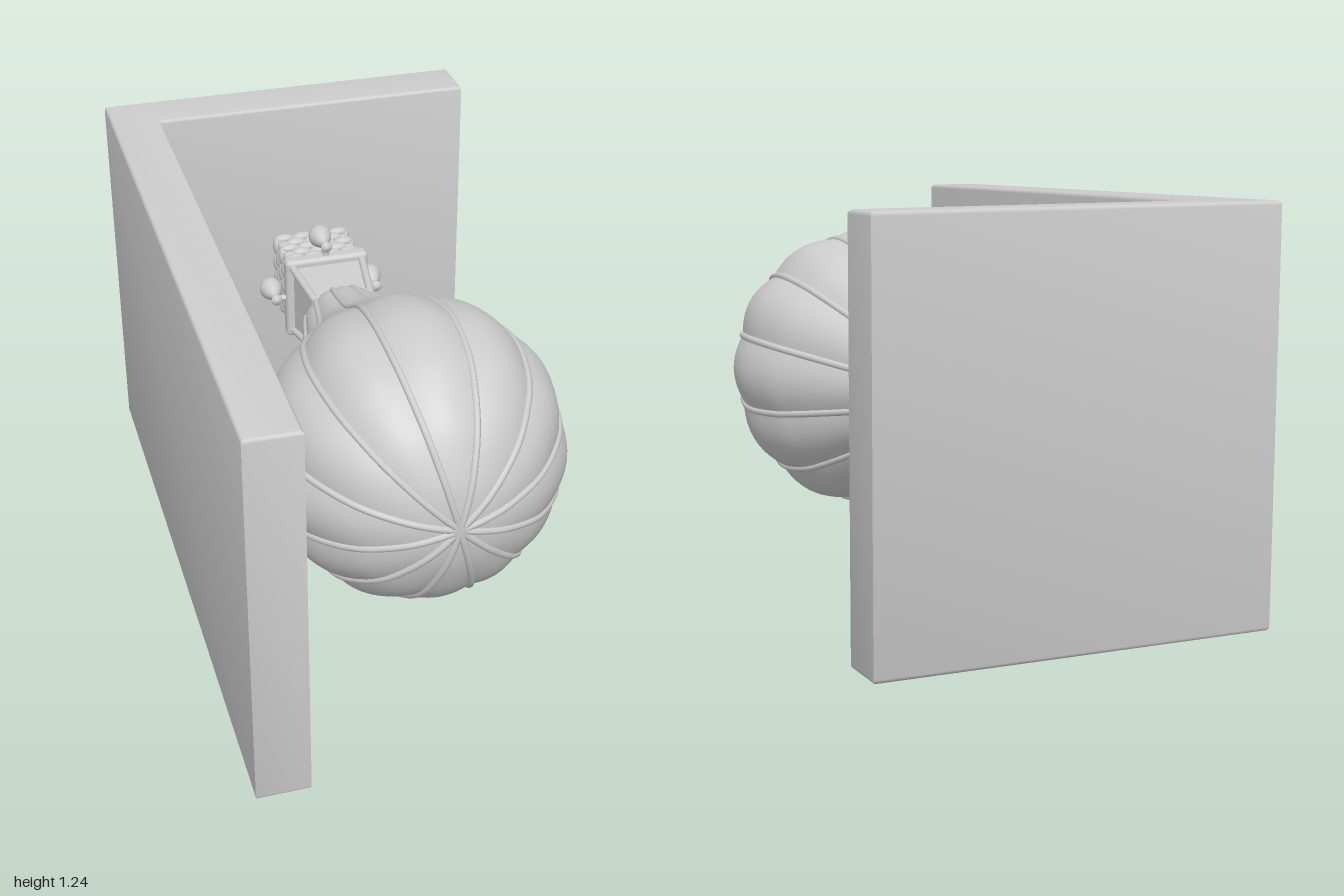
import * as THREE from 'three';
import { mergeVertices, toCreasedNormals } from 'three/addons/utils/BufferGeometryUtils.js';
import { RoundedBoxGeometry } from 'three/addons/geometries/RoundedBoxGeometry.js';

const grey = new THREE.MeshStandardMaterial({ color: 0xcccccc });
const RIBS = 12;
const VALLEY = 0.955;

function add(parent, name, geometry, x = 0, y = 0, z = 0) {
  const mesh = new THREE.Mesh(geometry, grey);
  mesh.name = name;
  mesh.position.set(x, y, z);
  parent.add(mesh);
  return mesh;
}
const points = (list) => list.map(([a, b]) => new THREE.Vector2(a, b));
const lathe = (list, segments = 24) =>
  new THREE.LatheGeometry(new THREE.SplineCurve(points(list)).getPoints(28), segments);

// L-shaped corner stand, its base rising slightly towards the back
function standGeometry() {
  const bevel = 0.012;
  const plan = new THREE.Shape(points([
    [-0.595, -1], [-0.435, -1], [-0.435, 0.84], [0.595, 0.84], [0.595, 1], [-0.595, 1],
  ]));
  const geo = new THREE.ExtrudeGeometry(plan, {
    depth: 1.2 - 2 * bevel, bevelThickness: bevel, bevelSize: bevel,
    bevelOffset: -bevel, bevelSegments: 3,
  });
  geo.rotateX(-Math.PI / 2).translate(0, bevel, 0);
  const p = geo.attributes.position;
  for (let i = 0; i < p.count; i++) p.setY(i, p.getY(i) + (1 - p.getZ(i)) * 0.0215);
  return toCreasedNormals(geo, 0.6);
}

// Envelope outline as (radius, z)
const outline = new THREE.SplineCurve(points([
  [0.132, -0.415], [0.145, -0.38], [0.165, -0.3], [0.197, -0.2], [0.25, -0.1],
  [0.315, 0], [0.378, 0.1], [0.427, 0.2], [0.455, 0.35], [0.43, 0.5],
  [0.378, 0.6], [0.285, 0.7], [0.165, 0.763], [0.07, 0.785], [0, 0.787],
])).getPoints(70);
outline[outline.length - 1].x = 0;

// Lathe whose radius swells between the ribs
function envelopeGeometry() {
  const closed = [new THREE.Vector2(0, -0.405), new THREE.Vector2(0.11, -0.418), ...outline];
  const geo = new THREE.LatheGeometry(closed, 144);
  const p = geo.attributes.position;
  for (let i = 0; i < p.count; i++) {
    const a = Math.atan2(p.getX(i), p.getZ(i));
    const f = VALLEY + (1 - VALLEY) * Math.abs(Math.cos(a * RIBS / 2));
    p.setX(i, p.getX(i) * f);
    p.setZ(i, p.getZ(i) * f);
  }
  geo.deleteAttribute('uv');
  geo.deleteAttribute('normal');
  const smooth = mergeVertices(geo, 1e-5);
  smooth.computeVertexNormals();
  return smooth.rotateX(Math.PI / 2);
}

export function createModel() {
  const model = new THREE.Group();
  model.name = 'balloonWallOrnament';
  add(model, 'cornerStand', standGeometry());

  // Peg joining the envelope to the side wall
  const peg = lathe([[0.06, -0.445], [0.042, -0.433], [0.027, -0.42], [0.028, -0.405], [0.04, -0.375]]);
  add(model, 'supportPeg', peg.rotateZ(-Math.PI / 2), 0, 0.65, 0.37);

  // Balloon lies along z, nose forward
  const balloon = new THREE.Group();
  balloon.name = 'balloon';
  balloon.position.set(0.055, 0.645, 0);
  model.add(balloon);
  add(balloon, 'envelope', envelopeGeometry());

  // Raised cords running in the valleys
  for (let i = 0; i < RIBS; i++) {
    const a = (i + 0.5) / RIBS * Math.PI * 2;
    const path = outline.filter((_, k) => k % 2 === 0).map((v) => new THREE.Vector3(
      Math.cos(a) * v.x * VALLEY, Math.sin(a) * v.x * VALLEY, v.y));
    add(balloon, 'envelopeCord', new THREE.TubeGeometry(new THREE.CatmullRomCurve3(path), 60, 0.011, 8));
  }

  // Flared square skirt: recessed panels between corner posts
  const panels = new THREE.CylinderGeometry(0.093 * Math.SQRT2, 0.12 * Math.SQRT2, 0.21, 4, 1);
  panels.rotateY(Math.PI / 4).rotateX(Math.PI / 2);
  add(balloon, 'skirtPanels', toCreasedNormals(panels, 0.5), 0, 0, -0.51);
  for (const sx of [-1, 1]) for (const sy of [-1, 1]) {
    const post = new THREE.LineCurve3(
      new THREE.Vector3(sx * 0.093, sy * 0.093, -0.405), new THREE.Vector3(sx * 0.121, sy * 0.121, -0.61));
    add(balloon, 'skirtPost', new THREE.TubeGeometry(post, 1, 0.013, 10));
  }
  add(balloon, 'skirtCollar', new RoundedBoxGeometry(0.212, 0.212, 0.026, 3, 0.01), 0, 0, -0.42);

  // Basket with rim and woven courses
  const basket = new THREE.Group();
  basket.name = 'basket';
  balloon.add(basket);
  add(basket, 'basketRim', new RoundedBoxGeometry(0.286, 0.286, 0.05, 4, 0.016), 0, 0, -0.622);
  add(basket, 'basketCore', new THREE.BoxGeometry(0.22, 0.22, 0.2), 0, 0, -0.745);
  const bead = new THREE.SphereGeometry(1, 12, 8).scale(0.034, 0.014, 0.019);
  for (let row = 0; row < 5; row++) {
    const z = -0.668 - row * 0.037;
    add(basket, 'wovenCourse', new RoundedBoxGeometry(0.25, 0.25, 0.037, 3, 0.016), 0, 0, z);
    for (let side = 0; side < 4; side++) {
      const face = new THREE.Group();
      face.name = 'wovenSide';
      face.rotation.z = side * Math.PI / 2;
      basket.add(face);
      const count = row % 2 ? 3 : 4;
      for (let k = 0; k < count; k++) {
        add(face, 'wovenStrand', bead, (k - (count - 1) / 2) * 0.063, 0.121, z);
      }
    }
  }

  // Sandbag tied to the middle of each side
  const bag = lathe([
    [0, -0.743], [0.022, -0.737], [0.038, -0.7], [0.03, -0.668],
    [0.014, -0.64], [0.012, -0.625], [0.019, -0.61], [0, -0.6],
  ]).rotateX(Math.PI / 2);
  for (let side = 0; side < 4; side++) {
    const holder = new THREE.Group();
    holder.name = 'sandbagHolder';
    holder.rotation.z = side * Math.PI / 2;
    balloon.add(holder);
    add(holder, 'sandbag', bag, 0, 0.175, 0);
    add(holder, 'sandbagTie', new THREE.CylinderGeometry(0.011, 0.011, 0.05, 10), 0, 0.152, -0.622);
  }
  return model;
}
